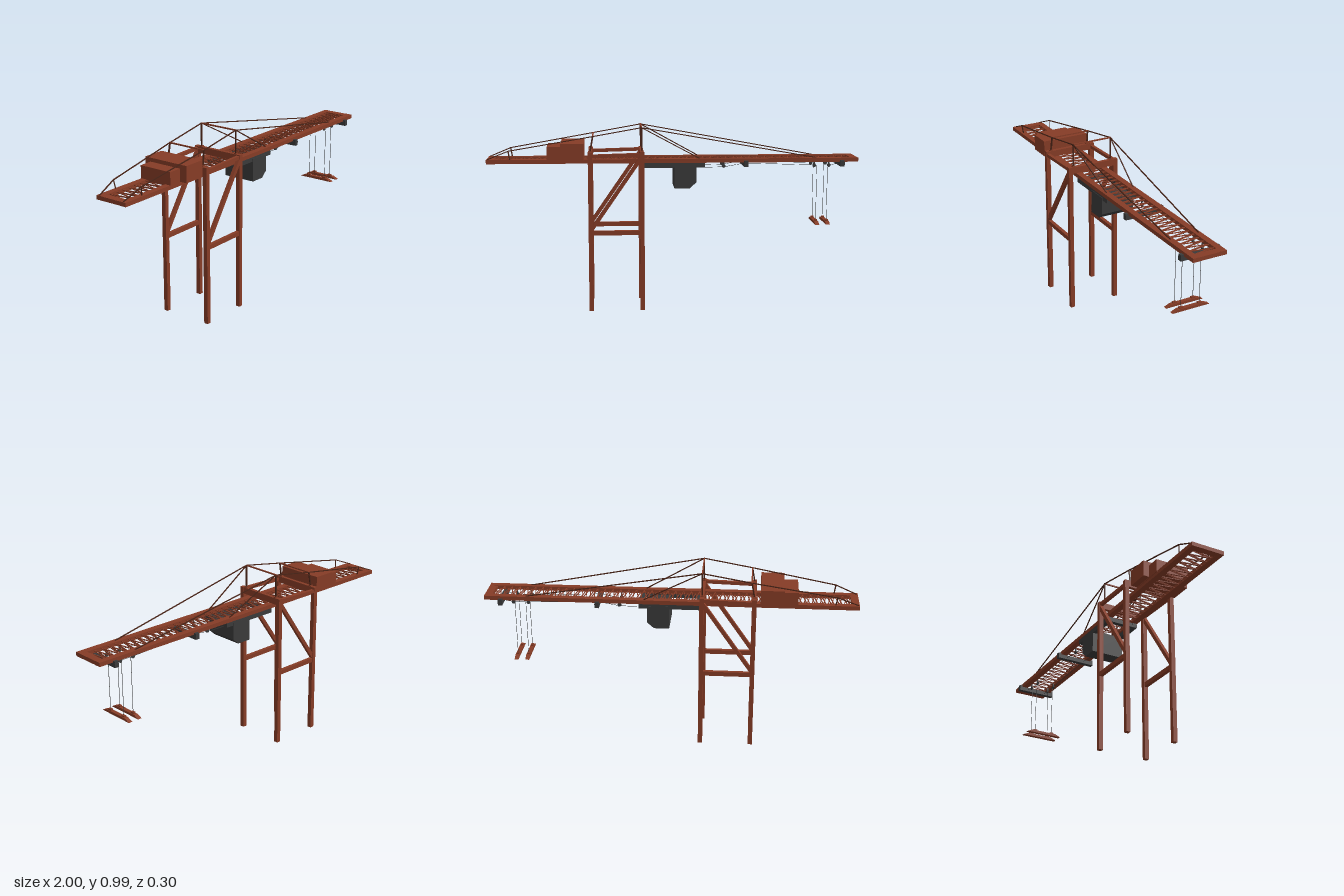
import * as THREE from 'three';

const mat = (color) => new THREE.MeshStandardMaterial({ color, flatShading: true });
const RUST = mat(0x863c26), DARK = mat(0x3a3a3a), CABLE = mat(0x4a2417);
const ZC = 0.005; // the boom sits slightly off the portal's axis

export function createModel() {
  const root = new THREE.Group();
  const group = (name) => {
    const g = new THREE.Group();
    g.name = name;
    root.add(g);
    return g;
  };
  const add = (parent, name, geo, material) => {
    const m = new THREE.Mesh(geo, material);
    m.name = name;
    parent.add(m);
    return m;
  };
  // box given by its minimum and maximum on each axis
  const box = (parent, name, x0, x1, y0, y1, z0, z1, material = RUST) =>
    add(parent, name, new THREE.BoxGeometry(x1 - x0, y1 - y0, z1 - z0), material)
      .position.set((x0 + x1) / 2, (y0 + y1) / 2, (z0 + z1) / 2);
  // square bar between two points
  const bar = (parent, name, a, b, size, material = RUST) => {
    const p = new THREE.Vector3(...a), q = new THREE.Vector3(...b);
    const m = add(parent, name, new THREE.BoxGeometry(size, size, p.distanceTo(q)), material);
    m.position.copy(p).add(q).multiplyScalar(0.5);
    m.lookAt(q);
  };
  const outline = (points) => new THREE.Shape(points.map(([x, y]) => new THREE.Vector2(x, y)));

  // Portal: legs, side beams, diagonals and cross beams
  const portal = group('portalFrame');
  const xBack = -0.447, xFront = -0.171;
  for (const s of [-1, 1]) {
    const z = s * 0.138;
    for (const x of [xBack, xFront])
      box(portal, 'leg', x - 0.012, x + 0.012, 0, 0.861, z - 0.012, z + 0.012);
    box(portal, 'sideBeam', xBack, xFront, 0.414, 0.438, z - 0.01, z + 0.01);
    bar(portal, 'topSideBeam', [xBack, 0.839, z], [xFront, 0.847, z], 0.018);
    bar(portal, 'diagonalBrace', [xBack, 0.438, z], [xFront, 0.837, z], 0.02);
  }
  for (const x of [xBack, xFront])
    box(portal, 'crossBeam', x - 0.01, x + 0.01, 0.824, 0.86, -0.13, 0.13);

  // Boom: two girders, end beams and two layers of fine zigzag lattice
  const boom = group('boom');
  for (const s of [-1, 1]) {
    const z = ZC + s * 0.077;
    box(boom, 'girder', -1, 1, 0.796, 0.818, z - 0.017, z + 0.017);
    box(boom, 'endBeam', s * 0.98 - 0.02, s * 0.98 + 0.02, 0.7965, 0.8175, ZC - 0.065, ZC + 0.065);
  }
  const bays = 90, step = 1.92 / bays;
  for (let i = 0; i < bays; i++) {
    const x = -0.96 + i * step, s = i % 2 ? 1 : -1;
    bar(boom, 'upperLatticeBar', [x, 0.812, ZC - s * 0.062], [x + step, 0.812, ZC + s * 0.062], 0.004);
    bar(boom, 'lowerLatticeBar', [x, 0.801, ZC + s * 0.062], [x + step, 0.801, ZC - s * 0.062], 0.004);
  }

  // Machinery house
  const house = group('machineryHouse');
  box(house, 'lowHouse', -0.678, -0.482, 0.813, 0.886, -0.092, 0.1);
  box(house, 'tallHouse', -0.604, -0.48, 0.818, 0.907, -0.126, 0.142);

  // Mast posts and stay cables, mirrored across the boom
  const stays = group('mastAndStays');
  const apex = [-0.172, 0.988, 0.114], rear = [-0.432, 0.942, 0.112], tail = [-0.882, 0.864, 0.09];
  const runs = [
    ['mastPost', apex, [-0.172, 0.858, 0.114], 0.007],
    ['rearPost', rear, [-0.447, 0.858, 0.114], 0.007],
    ['tailPost', tail, [-0.874, 0.818, 0.085], 0.005],
    ['longForestay', apex, [0.775, 0.818, 0.08], 0.005],
    ['shortForestay', apex, [0.14, 0.818, 0.08], 0.005],
    ['upperBackstay', apex, rear, 0.005],
    ['middleBackstay', rear, tail, 0.005],
    ['tailStay', tail, [-0.995, 0.818, 0.077], 0.005],
  ];
  for (const s of [-1, 1]) {
    const side = ([x, y, z]) => [x, y, z * s + 0.003];
    for (const [name, a, b, size] of runs) bar(stays, name, side(a), side(b), size, CABLE);
    for (const x of [xBack, xFront])
      box(stays, 'postFoot', x - 0.008, x + 0.008, 0.858, 0.866, s * 0.114 - 0.005, s * 0.114 + 0.011);
  }
  for (const [x, y, z] of [apex, rear])
    bar(stays, 'mastCrossbar', [x, y, -z], [x, y, z], 0.007);

  // Under-boom carriage with rails and hanger bars
  const carriage = group('carriage');
  for (const s of [-1, 1]) {
    const z = ZC + s * 0.08;
    box(carriage, 'carriageRail', -0.163, 0.168, 0.77, 0.797, z - 0.012, z + 0.012, DARK);
  }
  for (const x of [-0.148, 0.155])
    box(carriage, 'carriageCrossbar', x - 0.012, x + 0.012, 0.772, 0.796, ZC - 0.08, ZC + 0.08, DARK);
  for (const x of [0.39, 0.911]) {
    box(carriage, 'hangerBar', x - 0.012, x + 0.012, 0.773, 0.797, ZC - 0.112, ZC + 0.112, DARK);
    for (const s of [-1, 1])
      box(carriage, 'hangerEnd', x - 0.011, x + 0.011, 0.773, 0.806, ZC + s * 0.104 - 0.008, ZC + s * 0.104 + 0.008, DARK);
  }

  // Operator cabin with sloped lower window
  const cabinShape = outline([[0.004, 0.658], [0.086, 0.658], [0.122, 0.69], [0.122, 0.785], [0.004, 0.785]]);
  add(carriage, 'cabin', new THREE.ExtrudeGeometry(cabinShape, { depth: 0.188, bevelEnabled: false }), DARK)
    .position.z = -0.088;

  // Hoist: pulleys, haul ropes, hoist ropes and two spreader beams
  const hoist = group('hoist');
  const spreaderXs = [0.782, 0.841];
  for (const s of [-1, 1]) {
    const z = 0.002 + s * 0.054;
    for (const x of [0.274, 0.768, 0.848]) {
      const pulley = add(hoist, 'pulley', new THREE.CylinderGeometry(0.01, 0.01, 0.007, 10), DARK);
      pulley.rotation.x = Math.PI / 2;
      pulley.position.set(x, 0.773, z);
      box(hoist, 'pulleyHanger', x - 0.003, x + 0.003, 0.773, 0.798, z - 0.004, z + 0.004, DARK);
    }
    const haul = [[0.16, 0.766], [0.274, 0.768], [0.39, 0.788], [0.768, 0.774], [0.848, 0.774], [0.911, 0.785]];
    for (let i = 1; i < haul.length; i++)
      bar(hoist, 'haulRope', [...haul[i - 1], z], [...haul[i], z], 0.0018, DARK);
    for (const x of spreaderXs) {
      bar(hoist, 'hoistRope', [x, 0.472, z], [x, 0.775, z], 0.0018, DARK);
      box(hoist, 'ropeAnchor', x - 0.007, x + 0.007, 0.465, 0.475, z - 0.011, z + 0.011);
    }
  }
  const spreaderShape = outline([[-0.107, 0.453], [0.107, 0.453], [0.075, 0.467], [-0.075, 0.467]]);
  for (const x of spreaderXs) {
    const beam = add(hoist, 'spreaderBeam', new THREE.ExtrudeGeometry(spreaderShape, { depth: 0.022, bevelEnabled: false }), RUST);
    beam.rotation.y = Math.PI / 2;
    beam.position.set(x - 0.011, 0, 0.002);
  }
  return root;
}
